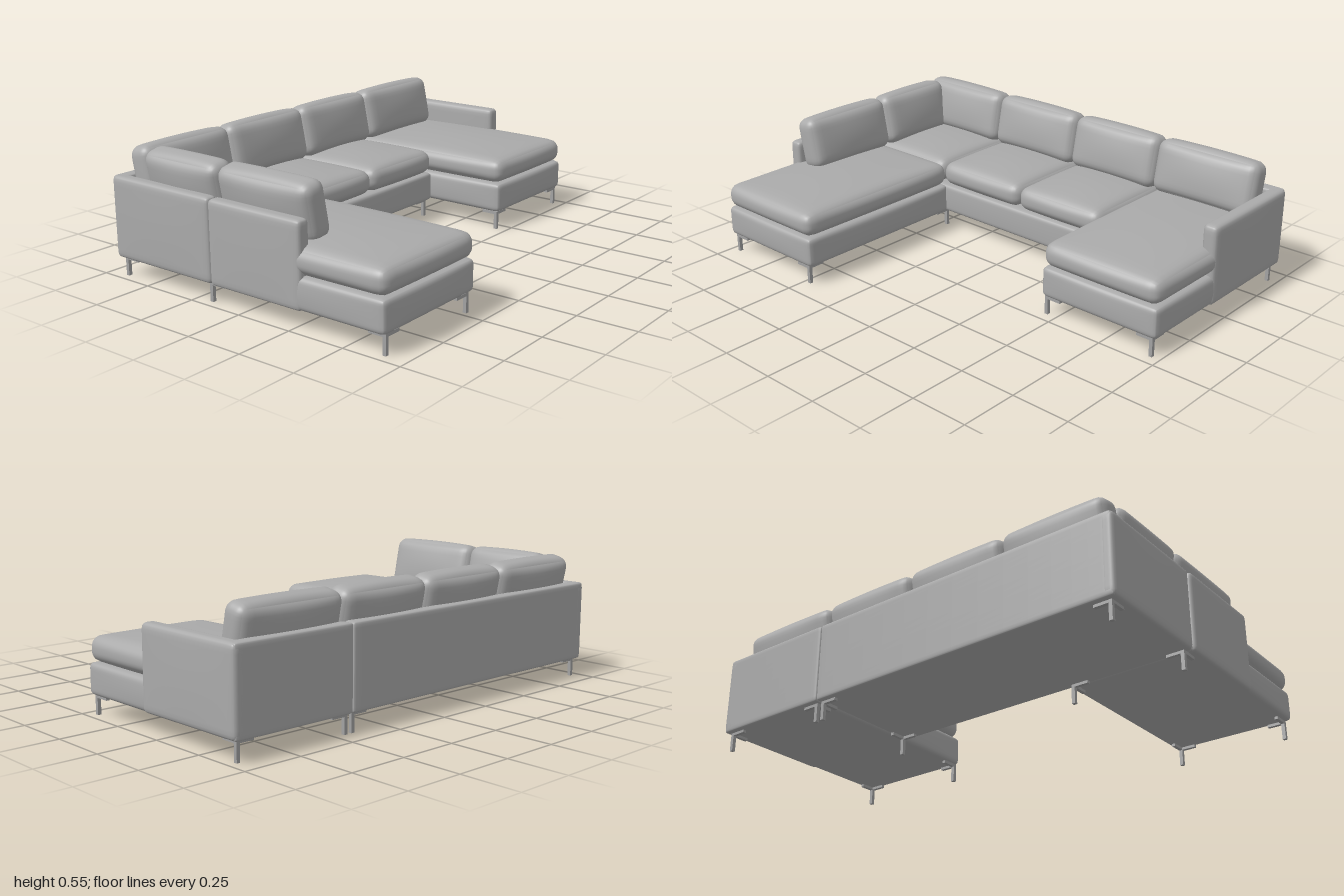
import * as THREE from 'three';
import { mergeVertices } from 'three/addons/utils/BufferGeometryUtils.js';

const fabric = new THREE.MeshStandardMaterial({ color: 0xaaaaaa });
fabric.name = 'grey upholstery';
const metal = new THREE.MeshStandardMaterial({ color: 0xa2a2a2 });
metal.name = 'grey metal';

// Rounded block whose faces swell by puff = [x, y, z] towards their middles
function softBlock(size, r, puff, seg = 18) {
  const g = new THREE.BoxGeometry(2, 2, 2, seg, seg, seg);
  g.deleteAttribute('normal');
  g.deleteAttribute('uv');
  const geo = mergeVertices(g, 1e-4);
  const pos = geo.attributes.position;
  for (let i = 0; i < pos.count; i++) {
    // crowd the grid towards the edges, where the rounding is
    const u = [pos.getX(i), pos.getY(i), pos.getZ(i)].map(t => Math.sin(t * Math.PI / 2));
    const half = size.map(s => s / 2);
    const p = u.map((t, k) => t * half[k]);
    const core = p.map((v, k) => THREE.MathUtils.clamp(v, r - half[k], half[k] - r));
    const d = new THREE.Vector3(p[0] - core[0], p[1] - core[1], p[2] - core[2]).normalize();
    const n = [d.x, d.y, d.z];
    const out = core.map((c, k) => {
      const a = u[(k + 1) % 3], b = u[(k + 2) % 3];
      return c + n[k] * (r + puff[k] * (1 - a * a) * (1 - b * b));
    });
    pos.setXYZ(i, out[0], out[1], out[2]);
  }
  geo.computeVertexNormals();
  return geo;
}

export function createModel() {
  const model = new THREE.Group();
  model.name = 'sectionalSofa';

  // Upholstered part from its limits on each axis
  function part(name, [x0, x1], [y0, y1], [z0, z1], r, puff) {
    const mesh = new THREE.Mesh(softBlock([x1 - x0, y1 - y0, z1 - z0], r, puff), fabric);
    mesh.position.set((x0 + x1) / 2, (y0 + y1) / 2, (z0 + z1) / 2);
    mesh.name = name;
    model.add(mesh);
    return mesh;
  }

  // Bases
  const baseY = [0.08, 0.212];
  const basePuff = [0.006, 0, 0.006];
  part('longChaiseBase', [-0.99, -0.44], baseY, [-0.155, 0.675], 0.022, basePuff);
  part('middleBase', [-0.985, 0.43], baseY, [-0.68, -0.147], 0.018, [0, 0, 0.004]);
  part('shortChaiseBase', [0.432, 0.985], baseY, [-0.68, 0.218], 0.022, basePuff);

  // Seat cushions
  const seatY = [0.212, 0.318];
  const seatPuff = [0.006, 0.018, 0.006];
  const seats = [
    ['longChaiseCushion', [-0.99, -0.438], [-0.155, 0.677]],
    ['cornerSeatCushion', [-0.95, -0.468], [-0.64, -0.152]],
    ['middleSeatCushion', [-0.468, -0.012], [-0.64, -0.144]],
    ['middleSeatCushion', [-0.012, 0.43], [-0.64, -0.144]],
    ['shortChaiseCushion', [0.432, 0.984], [-0.64, 0.219]],
  ];
  for (const [name, x, z] of seats) part(name, x, seatY, z, 0.045, seatPuff);

  // Back panels and arms
  const wallY = [0.08, 0.42];
  part('backPanel', [-0.985, 0.431], wallY, [-0.687, -0.63], 0.012, [0, 0, 0]);
  part('shortChaiseBackPanel', [0.431, 0.985], wallY, [-0.687, -0.63], 0.012, [0, 0, 0]);
  part('cornerArm', [-0.992, -0.932], wallY, [-0.687, -0.152], 0.02, [0.004, 0, 0]);
  part('longChaiseArm', [-0.997, -0.935], wallY, [-0.15, 0.305], 0.02, [0.003, 0, 0]);
  part('rightSideArm', [0.926, 0.993], wallY, [-0.687, -0.15], 0.022, [0.004, 0, 0]);

  // Leaning back cushions
  const lean = 0.2;
  const cushion = (name, w) => {
    const mesh = new THREE.Mesh(softBlock([w, 0.232, 0.115], 0.042, [0.002, 0.006, 0.016]), fabric);
    mesh.name = name;
    model.add(mesh);
    return mesh;
  };
  for (const [x0, x1] of [[-0.935, -0.47], [-0.47, -0.012], [-0.012, 0.437], [0.437, 0.925]]) {
    const c = cushion('backCushion', x1 - x0);
    c.position.set((x0 + x1) / 2, 0.424, -0.578);
    c.rotation.x = -lean;
  }
  for (const [z0, z1] of [[-0.55, -0.152], [-0.152, 0.305]]) {
    const c = cushion('sideBackCushion', z1 - z0);
    c.position.set(-0.878, 0.424, (z0 + z1) / 2);
    c.rotation.order = 'YXZ';
    c.rotation.set(-lean, Math.PI / 2, 0);
  }

  // Legs, each with an angle bracket; sx and sz point inwards
  const legs = [
    [-0.957, 0.655, 1, -1], [-0.472, 0.655, -1, -1],
    [-0.957, -0.175, 1, 1], [-0.472, -0.175, -1, 1],
    [-0.957, -0.657, 1, 1], [0.413, -0.657, -1, 1], [0.413, -0.185, -1, -1],
    [0.45, 0.197, 1, -1], [0.957, 0.197, -1, -1],
    [0.45, -0.657, 1, 1], [0.957, -0.657, -1, 1],
  ];
  const box = (w, h, d, x, y, z) => {
    const m = new THREE.Mesh(new THREE.BoxGeometry(w, h, d), metal);
    m.position.set(x, y, z);
    return m;
  };
  for (const [x, z, sx, sz] of legs) {
    const leg = new THREE.Group();
    leg.name = 'leg';
    leg.add(
      box(0.015, 0.082, 0.015, 0, 0.041, 0),
      box(0.065, 0.013, 0.015, sx * 0.036, 0.075, 0),
      box(0.015, 0.013, 0.065, 0, 0.075, sz * 0.036),
    );
    leg.position.set(x, 0, z);
    model.add(leg);
  }
  return model;
}
